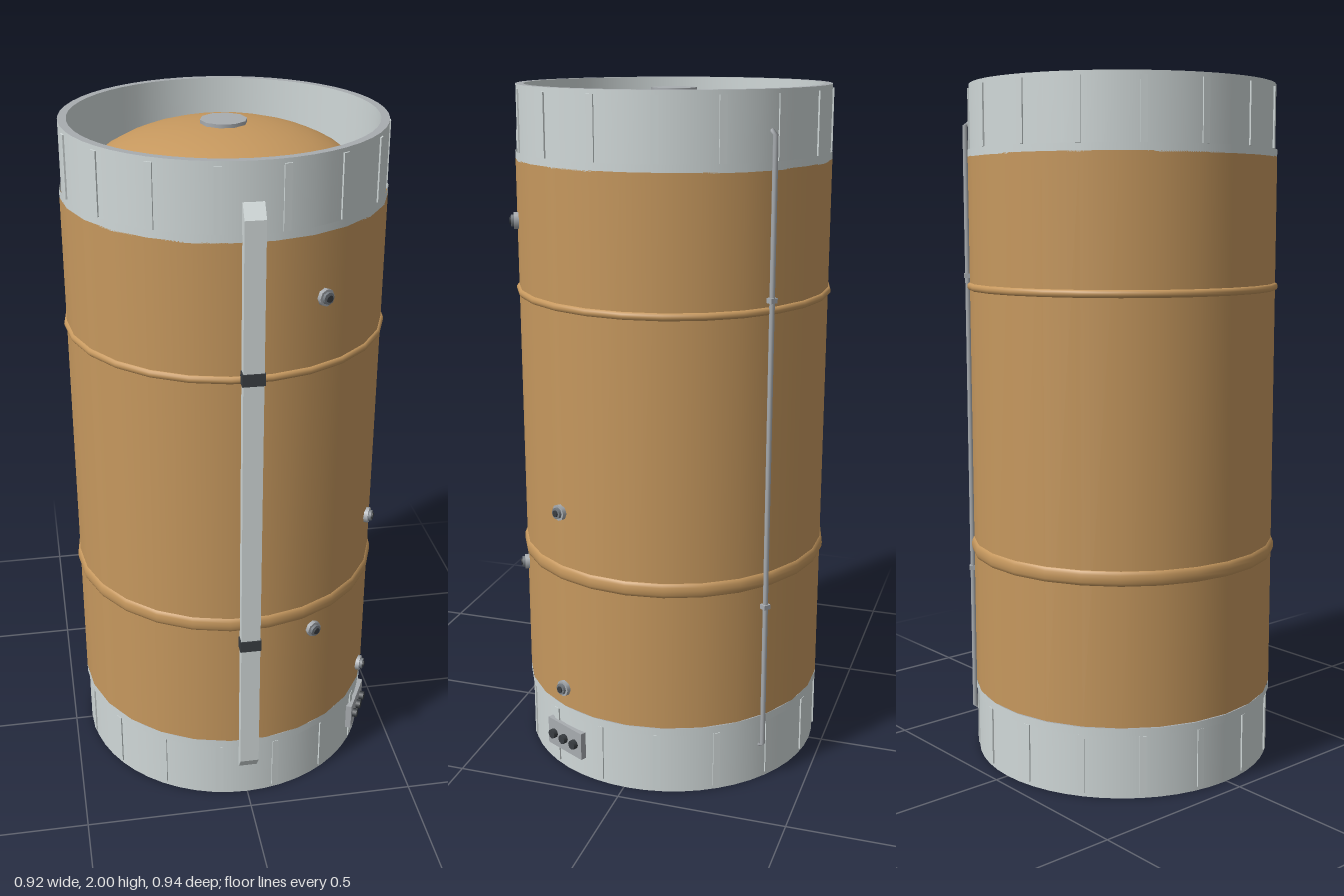
import * as THREE from 'three';

const mat = (name, color, side = THREE.FrontSide) => {
  const m = new THREE.MeshStandardMaterial({ color, side });
  m.name = name;
  return m;
};

export function createModel() {
  const tan = mat('tan insulation', 0xc6985e, THREE.DoubleSide);
  const light = mat('light grey paint', 0xd0d8d8, THREE.DoubleSide);
  const grey = mat('grey metal', 0xa8acb0, THREE.DoubleSide);
  const steel = mat('dark steel', 0x767c82);
  const dark = mat('charcoal', 0x3a3e42);

  const model = new THREE.Group();
  model.name = 'tankStage';
  const AXIS_Z = -0.012, SIDES = 26;

  const add = (parent, name, geo, material, x = 0, y = 0, z = 0) => {
    const m = new THREE.Mesh(geo, material);
    m.name = name;
    m.position.set(x, y, z);
    parent.add(m);
    return m;
  };
  // Group whose local +z points outward from the tank axis
  const radial = (name, angle, y = 0) => {
    const g = new THREE.Group();
    g.name = name;
    g.rotation.y = angle;
    g.position.set(0, y, AXIS_Z);
    model.add(g);
    return g;
  };
  const lathe = (pts) => new THREE.LatheGeometry(
    pts.map(([r, y]) => new THREE.Vector2(r, y)), SIDES, Math.PI / 2);
  const tube = (r, h, n) => new THREE.CylinderGeometry(r, r, h, n, 1, true, Math.PI / 2);
  const knob = (r, h, n) => new THREE.CylinderGeometry(r, r, h, n).rotateX(Math.PI / 2);

  // Tank wall with two raised hoops
  add(model, 'tankWall', tube(0.453, 1.585, SIDES), tan, 0, 1.0025, AXIS_Z);
  for (const [y, h] of [[0.64, 0.022], [1.42, 0.011]]) {
    const pts = [];
    for (let i = 0; i <= 6; i++) {
      const t = (i / 6) * Math.PI;
      pts.push([0.452 + 0.009 * Math.sin(t), -h * Math.cos(t)]);
    }
    add(model, 'hoop', lathe(pts), tan, 0, y, AXIS_Z);
  }

  // Elliptical end domes and their hatch covers
  const domePts = (sign) => {
    const pts = [];
    for (let i = 0; i <= 10; i++) {
      const t = (i / 10) * Math.PI / 2;
      pts.push([0.41 * Math.cos(t), sign * 0.2 * Math.sin(t)]);
    }
    return sign > 0 ? pts : pts.reverse();
  };
  add(model, 'upperDome', lathe(domePts(1)), tan, 0, 1.78, AXIS_Z);
  add(model, 'lowerDome', lathe(domePts(-1)), tan, 0, 0.22, AXIS_Z);
  add(model, 'upperHatch', new THREE.CylinderGeometry(0.065, 0.065, 0.025, 10, 1, false, Math.PI / 10),
    grey, 0, 1.975, AXIS_Z);
  add(model, 'lowerHatch', new THREE.CylinderGeometry(0.05, 0.05, 0.02, 10), grey, 0, 0.023, AXIS_Z);

  // Skirts: double wall, rims, lip and vertical ribs
  for (const top of [false, true]) {
    const skirt = new THREE.Group();
    skirt.name = top ? 'upperSkirt' : 'lowerSkirt';
    skirt.position.z = AXIS_Z;
    model.add(skirt);
    const at = (y) => (top ? 2 - y : y);
    add(skirt, 'outerWall', tube(0.447, 0.205, 52), light, 0, at(0.1025));
    add(skirt, 'innerWall', tube(0.424, 0.205, 52), light, 0, at(0.1025));
    for (const y of [0, 0.205]) {
      const rim = new THREE.RingGeometry(0.424, 0.447, 52).rotateX(-Math.PI / 2);
      add(skirt, 'rim', rim, grey, 0, at(y));
    }
    add(skirt, 'lip', tube(0.453, 0.023, SIDES), light, 0, at(0.196));
    for (let i = 0; i < 16; i++) {
      const a = (i + 0.5) * Math.PI / 8;
      const rib = add(skirt, 'rib', new THREE.BoxGeometry(0.02, 0.172, 0.012), light,
        0.445 * Math.sin(a), at(0.098), 0.445 * Math.cos(a));
      rib.rotation.y = a;
    }
  }

  // Front cable duct with sloped ends, held by two straps
  const side = new THREE.Shape();
  [[0.425, 0.11], [0.44, 0.11], [0.467, 0.15], [0.467, 1.86], [0.44, 1.897], [0.425, 1.897]]
    .forEach(([z, y], i) => (i ? side.lineTo(z, y) : side.moveTo(z, y)));
  const duct = new THREE.ExtrudeGeometry(side, { depth: 0.056, bevelEnabled: false });
  duct.rotateY(-Math.PI / 2).translate(0.028, 0, 0);
  add(model, 'cableDuct', duct, light);
  for (const y of [0.58, 1.43]) {
    add(model, 'ductStrap', new THREE.BoxGeometry(0.062, 0.035, 0.04), dark, 0, y, 0.45);
  }

  // Rear pipe with turned-in ends and brackets
  const pipe = radial('rearPipe', Math.atan2(0.28, -0.363));
  const path = new THREE.CurvePath();
  const p = [[0.435, 0.105], [0.46, 0.115], [0.46, 1.888], [0.435, 1.9]]
    .map(([r, y]) => new THREE.Vector3(0, y, r));
  for (let i = 0; i < 3; i++) path.add(new THREE.LineCurve3(p[i], p[i + 1]));
  add(pipe, 'pipe', new THREE.TubeGeometry(path, 60, 0.0075, 8), grey);
  for (const y of [0.56, 1.45]) {
    add(pipe, 'pipeBracket', new THREE.BoxGeometry(0.022, 0.014, 0.03), grey, 0, y, 0.455);
  }

  // Service ports
  for (const [x, y, z] of [[0.2, 1.62, 0.41], [0.2, 0.57, 0.41], [0.4, 0.825, 0.212], [0.4, 0.27, 0.212]]) {
    const port = radial('servicePort', Math.atan2(x, z), y);
    add(port, 'flange', knob(0.024, 0.02, 8), grey, 0, 0, 0.453);
    add(port, 'collar', knob(0.017, 0.012, 8), steel, 0, 0, 0.465);
    add(port, 'plug', knob(0.01, 0.008, 8), dark, 0, 0, 0.471);
  }

  // Connector panel on the lower skirt
  const panel = radial('connectorPanel', Math.atan2(0.4, 0.212), 0.103);
  add(panel, 'plate', new THREE.BoxGeometry(0.15, 0.085, 0.03), grey, 0, 0, 0.443);
  for (const x of [-0.046, 0, 0.046]) {
    add(panel, 'connector', knob(0.014, 0.02, 8), dark, x, 0, 0.462);
  }
  return model;
}
